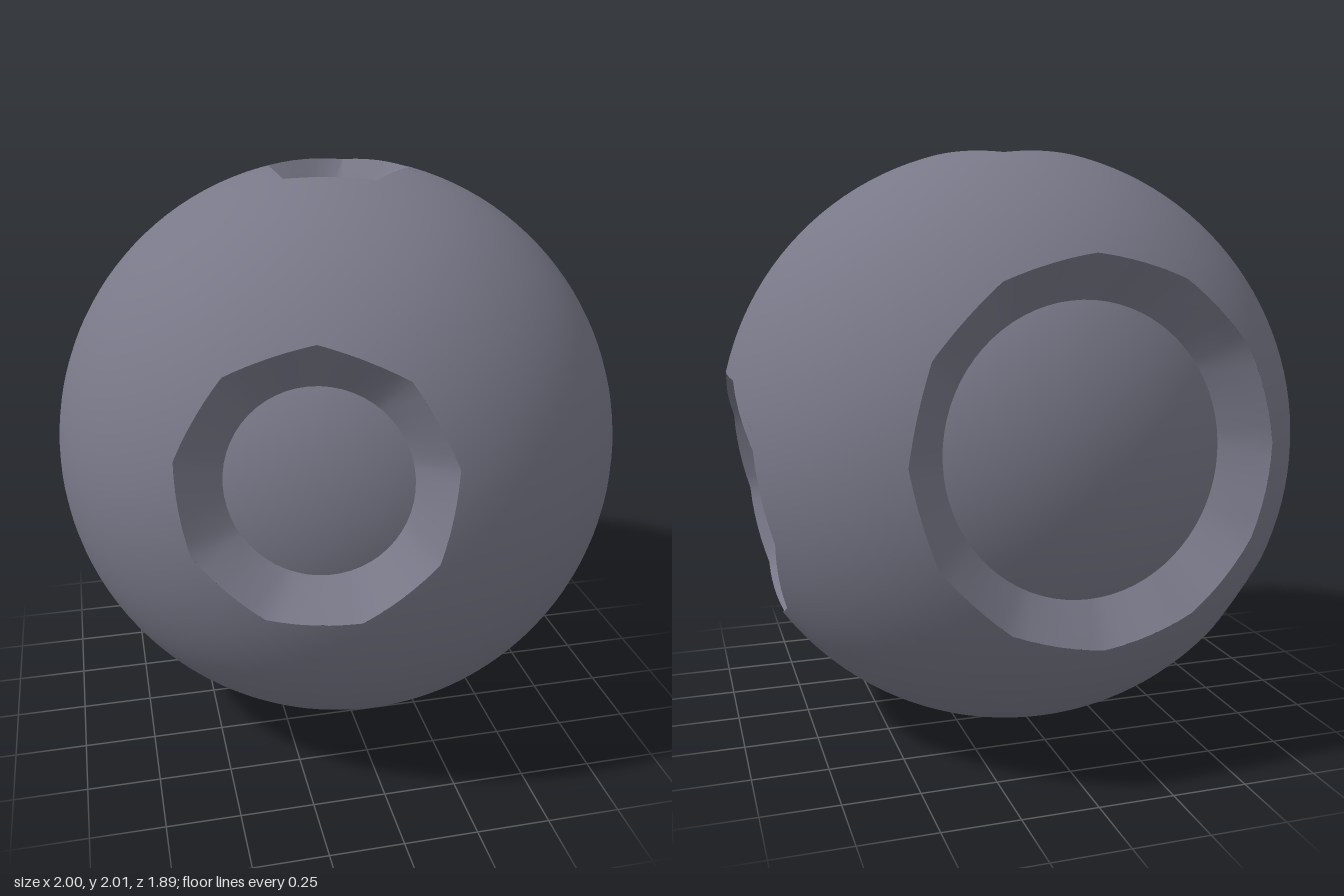
import * as THREE from 'three';
import { toCreasedNormals } from 'three/addons/utils/BufferGeometryUtils.js';

const R = 1.016; // outer shell radius

// dir: axis, hint: direction of one rim corner, n: rim sides,
// rim / floor: radii of the rim corners and the round floor, core: distance of the floor dome
const CRATERS = [
  { name: 'topCrater', dir: [0, 1, 0], hint: [1, 0, 0], n: 5, rim: 0.264, floor: 0.155, core: 0.905 },
  { name: 'frontCrater', dir: [-0.28, 0.186, 0.94], hint: [0, 1, 0], n: 9, rim: 0.438, floor: 0.3, core: 0.855 },
  { name: 'leftCrater', dir: [0.985, -0.18, 0], hint: [0, -1, 0], n: 9, rim: 0.442, floor: 0.31, core: 0.82 },
  { name: 'backCrater', dir: [-0.058, 0.075, -1], hint: [0, 1, 0], n: 12, rim: 0.6, floor: 0.465, core: 0.85 },
  { name: 'lowerFrontHole', dir: [0.146, -0.87, 0.45], hint: [1, 0, 0], n: 32, rim: 0.142, floor: 0.132, core: 0.91 },
  { name: 'lowerBackHole', dir: [-0.65, -0.5, -0.485], hint: [0, 1, 0], n: 32, rim: 0.17, floor: 0.155, core: 0.9 },
];

// Work out the frame and wall slope: wall radius = a + b * distance along the axis
function prepare(c) {
  const d = new THREE.Vector3(...c.dir).normalize();
  const u = new THREE.Vector3(...c.hint);
  u.addScaledVector(d, -u.dot(d)).normalize();
  const v = d.clone().cross(u);
  const t1 = Math.sqrt(R * R - c.rim ** 2);
  const t0 = Math.sqrt(c.core ** 2 - c.floor ** 2);
  const b = (c.rim - c.floor) / (t1 - t0);
  const a = c.floor - b * t0;
  const ray = (phi) => u.clone().multiplyScalar(Math.cos(phi)).addScaledVector(v, Math.sin(phi));
  const apothem = Math.cos(Math.PI / c.n);
  // Signed distance functions of the cutting facets, negative inside the crater
  const planes = [];
  for (let i = 0; i < c.n; i++) {
    const e = ray(((i + 0.5) * 2 * Math.PI) / c.n);
    planes.push((p) => p.dot(e) - apothem * (a + b * p.dot(d)));
  }
  return { ...c, d, a, b, t0, ray, apothem, planes };
}

// Point of the polygonal rim on the shell
function rimPoint(c, phi) {
  const step = (2 * Math.PI) / c.n;
  const local = phi - Math.floor(phi / step + 1e-9) * step - step / 2;
  const k = c.apothem / Math.cos(local);
  const A = 1 + (k * c.b) ** 2, B = k * k * c.a * c.b, C = (k * c.a) ** 2 - R * R;
  const s = (-B + Math.sqrt(B * B - A * C)) / A;
  return c.d.clone().multiplyScalar(s).addScaledVector(c.ray(phi), k * (c.a + c.b * s));
}

// Point of the round floor edge
function floorPoint(c, phi) {
  return c.d.clone().multiplyScalar(c.t0).addScaledVector(c.ray(phi), c.floor);
}

// Split a convex polygon by a plane function into [outside, inside]
function split(poly, f) {
  const out = [], inn = [];
  poly.forEach((p, i) => {
    const q = poly[(i + 1) % poly.length];
    const fp = f(p), fq = f(q);
    (fp >= 0 ? out : inn).push(p);
    if (fp >= 0 !== fq >= 0) {
      const m = p.clone().lerp(q, fp / (fp - fq));
      out.push(m);
      inn.push(m);
    }
  });
  return [out, inn];
}

// Remove a crater's cone from one polygon; polygons it misses stay whole
function carve(poly, c) {
  if (poly[0].dot(c.d) < 0.6) return [poly];
  const kept = [];
  let rest = poly;
  for (const f of c.planes) {
    const [out, inn] = split(rest, f);
    if (inn.length < 3) return [poly];
    if (out.length > 2) kept.push(out);
    rest = inn;
  }
  return kept;
}

function fromPoints(points, radialNormals) {
  const g = new THREE.BufferGeometry().setFromPoints(points);
  if (radialNormals) {
    const n = points.flatMap((p) => p.clone().normalize().toArray());
    g.setAttribute('normal', new THREE.Float32BufferAttribute(n, 3));
    return g;
  }
  g.computeVertexNormals();
  return toCreasedNormals(g, 0.6);
}

// Outer ball with all craters cut out
function shellGeometry(craters) {
  const src = new THREE.SphereGeometry(R, 96, 64).toNonIndexed().attributes.position;
  const points = [];
  for (let i = 0; i < src.count; i += 3) {
    let polys = [[0, 1, 2].map((j) => new THREE.Vector3().fromBufferAttribute(src, i + j))];
    for (const c of craters) polys = polys.flatMap((p) => carve(p, c));
    for (const p of polys) {
      p.forEach((q) => q.setLength(R));
      for (let j = 1; j < p.length - 1; j++) points.push(p[0], p[j], p[j + 1]);
    }
  }
  return fromPoints(points, true);
}

// Slope from the polygonal rim down to the round floor
function wallGeometry(c, angles) {
  const points = [];
  for (let i = 0; i < angles.length - 1; i++) {
    const [f0, f1] = [angles[i], angles[i + 1]].map((p) => floorPoint(c, p));
    const [r0, r1] = [angles[i], angles[i + 1]].map((p) => rimPoint(c, p));
    points.push(f0, r0, f1, f1, r0, r1);
  }
  return fromPoints(points, false);
}

// Domed floor inside the wall
function floorGeometry(c, angles) {
  const rings = 8, points = [];
  const pole = c.d.clone().multiplyScalar(c.core);
  const at = (phi, k) => pole.clone().lerp(floorPoint(c, phi), k / rings).setLength(c.core);
  for (let i = 0; i < angles.length - 1; i++) {
    for (let k = 0; k < rings; k++) {
      const a = at(angles[i], k), b = at(angles[i], k + 1);
      const e = at(angles[i + 1], k + 1), f = at(angles[i + 1], k);
      points.push(a, b, e);
      if (k) points.push(a, e, f);
    }
  }
  return fromPoints(points, true);
}

export function createModel() {
  const stone = new THREE.MeshStandardMaterial({ color: 0x787888 });
  stone.name = 'slateGrey';
  const model = new THREE.Group();
  model.name = 'crateredBall';
  const add = (parent, geometry, name) => {
    const mesh = new THREE.Mesh(geometry, stone);
    mesh.name = name;
    parent.add(mesh);
  };

  const craters = CRATERS.map(prepare);
  add(model, shellGeometry(craters), 'shell');

  for (const c of craters) {
    const count = c.n * (c.n > 20 ? 1 : 6);
    const angles = Array.from({ length: count + 1 }, (_, i) => (i * 2 * Math.PI) / count);
    const group = new THREE.Group();
    group.name = c.name;
    add(group, wallGeometry(c, angles), 'craterWall');
    add(group, floorGeometry(c, angles), 'craterFloor');
    model.add(group);
  }

  model.position.set(0.014, 1.02, -0.08);
  const root = new THREE.Group();
  root.name = 'model';
  root.add(model);
  return root;
}
